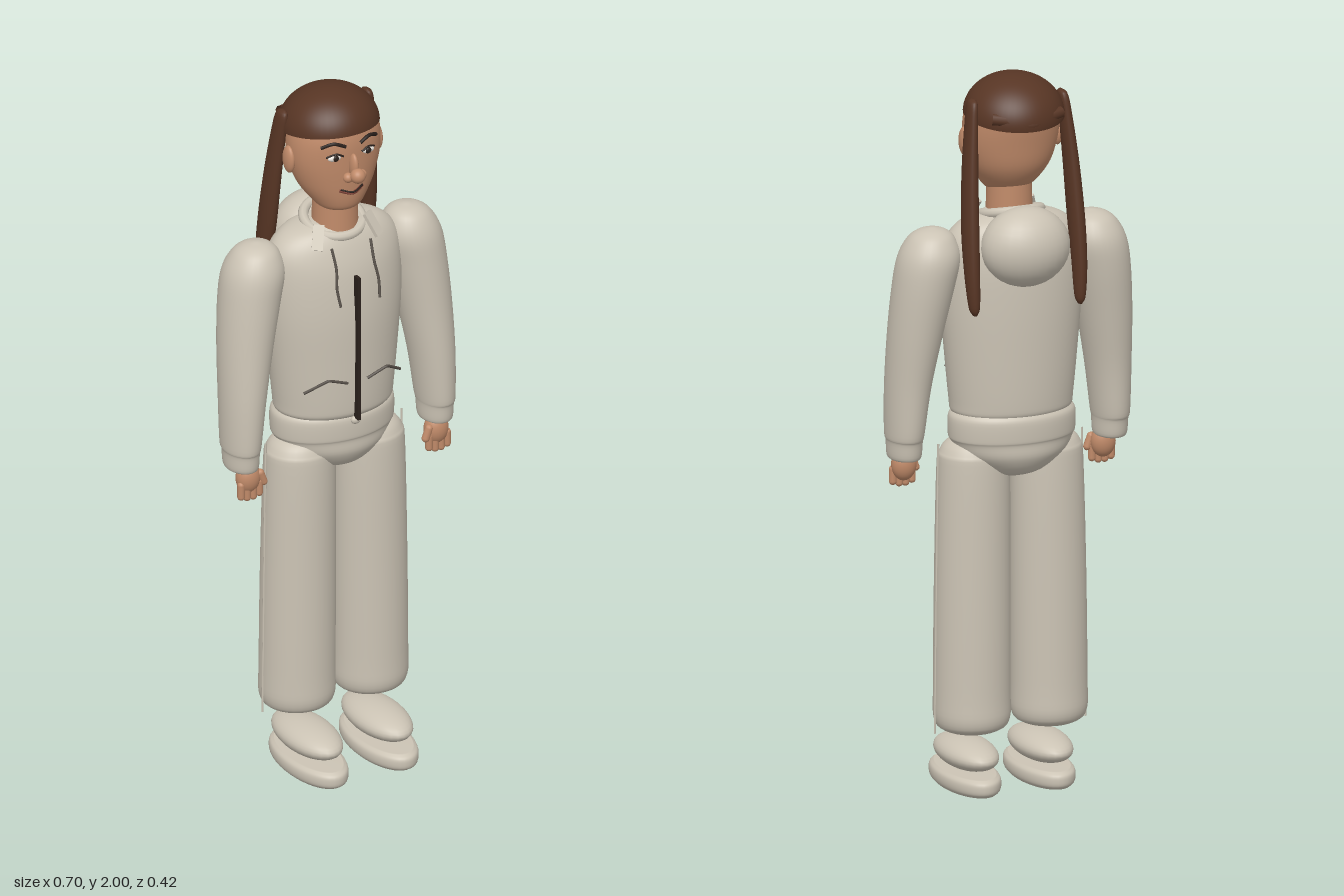
import * as THREE from 'three';

const mat = (name, color, side = THREE.FrontSide) => {
  const m = new THREE.MeshStandardMaterial({ color, side });
  m.name = name;
  return m;
};

// Smooth closed body from horizontal elliptical sections, bottom to top: [y, cx, cz, rx, rz]
function loft(sections, mirror = 1, seg = 32, steps = 5) {
  const mid = new THREE.CatmullRomCurve3(sections.map(([y, x, z]) => new THREE.Vector3(x * mirror, y, z)), false, 'catmullrom', 0.5);
  const rad = new THREE.CatmullRomCurve3(sections.map(([y, , , a, b]) => new THREE.Vector3(a, y, b)), false, 'catmullrom', 0.5);
  const n = (sections.length - 1) * steps, pos = [], idx = [];
  for (let i = 0; i <= n; i++) {
    const c = mid.getPoint(i / n), r = rad.getPoint(i / n);
    for (let j = 0; j < seg; j++) {
      const t = (j / seg) * Math.PI * 2;
      pos.push(c.x + Math.cos(t) * Math.max(r.x, 0.001), c.y, c.z + Math.sin(t) * Math.max(r.z, 0.001));
    }
  }
  for (let i = 0; i < n; i++) {
    for (let j = 0; j < seg; j++) {
      const a = i * seg + j, b = i * seg + (j + 1) % seg;
      idx.push(a, a + seg, b, b, a + seg, b + seg);
    }
  }
  const bottom = pos.length / 3, top = bottom + 1, first = mid.getPoint(0), last = mid.getPoint(1);
  pos.push(first.x, first.y, first.z, last.x, last.y, last.z);
  for (let j = 0; j < seg; j++) {
    const k = (j + 1) % seg;
    idx.push(bottom, j, k, top, n * seg + k, n * seg + j);
  }
  const g = new THREE.BufferGeometry();
  g.setAttribute('position', new THREE.Float32BufferAttribute(pos, 3));
  g.setIndex(idx);
  g.computeVertexNormals();
  return g;
}

const tube = (points, r, s = 1, tension = 0.5) => new THREE.TubeGeometry(
  new THREE.CatmullRomCurve3(points.map(([x, y, z]) => new THREE.Vector3(x * s, y, z)), false, 'catmullrom', tension), 24, r, 8);

export function createModel() {
  const cloth = mat('cloth', 0xcbc3b4);
  const skin = mat('skin', 0xc08a69);
  const hair = mat('hair', 0x573524, THREE.DoubleSide);
  const dark = mat('darkTrim', 0x2a201b);
  const cord = mat('cord', 0x575049);
  const lips = mat('lips', 0x84463a);
  const white = mat('eyeWhite', 0xe6e0d8);

  const model = new THREE.Group();
  const add = (name, geo, m) => {
    const mesh = new THREE.Mesh(geo, m);
    mesh.name = name;
    model.add(mesh);
    return mesh;
  };
  const ball = (name, m, x, y, z, rx, ry = rx, rz = rx) => {
    const mesh = add(name, new THREE.SphereGeometry(1, 28, 18), m);
    mesh.position.set(x, y, z);
    mesh.scale.set(rx, ry, rz);
    return mesh;
  };

  // Jacket body, hood and collar
  add('jacketBody', loft([
    [1.05, 0, -0.015, 0.14, 0.1], [1.065, 0, -0.015, 0.168, 0.122], [1.1, 0, -0.015, 0.174, 0.128],
    [1.22, 0, -0.015, 0.186, 0.131], [1.36, 0, -0.015, 0.198, 0.131], [1.48, 0, -0.018, 0.2, 0.122],
    [1.55, 0, -0.02, 0.188, 0.105], [1.595, 0, -0.022, 0.145, 0.085], [1.62, 0, -0.022, 0.07, 0.06],
  ], 1, 48), cloth);
  ball('hood', cloth, 0, 1.537, -0.115, 0.125, 0.11, 0.097);
  const collar = add('collar', new THREE.TorusGeometry(0.08, 0.014, 10, 40), cloth);
  collar.position.set(0, 1.61, -0.015);
  collar.rotation.x = Math.PI / 2 + 0.27;
  const zip = add('zipper', new THREE.BoxGeometry(0.009, 0.43, 0.02), dark);
  zip.position.set(0, 1.275, 0.12);
  ball('zipPull', cloth, 0, 1.053, 0.11, 0.014, 0.012, 0.01);

  // Trouser waistband and seat
  add('hips', loft([
    [0.875, 0, -0.02, 0.02, 0.02], [0.9, 0, -0.02, 0.09, 0.085], [0.945, 0, -0.02, 0.15, 0.118],
    [0.985, 0, -0.02, 0.172, 0.122], [1.0, 0, -0.02, 0.178, 0.126], [1.05, 0, -0.02, 0.178, 0.126],
    [1.07, 0, -0.02, 0.165, 0.115],
  ], 1, 48), cloth);

  // Head, neck and face
  add('neck', new THREE.CylinderGeometry(0.06, 0.064, 0.13, 32), skin).position.set(0, 1.65, -0.003);
  add('head', loft([
    [1.666, 0, 0.02, 0.03, 0.03], [1.675, 0, 0.018, 0.058, 0.055], [1.7, 0, 0.006, 0.081, 0.078],
    [1.75, 0, -0.007, 0.112, 0.097], [1.82, 0, -0.012, 0.132, 0.106], [1.89, 0, -0.017, 0.131, 0.11],
    [1.94, 0, -0.025, 0.11, 0.1], [1.975, 0, -0.03, 0.055, 0.055], [1.985, 0, -0.03, 0.01, 0.01],
  ], 1, 40), skin);
  ball('noseBridge', skin, 0, 1.815, 0.1, 0.012, 0.038, 0.02);
  ball('noseTip', skin, 0, 1.796, 0.122, 0.021);
  add('mouth', tube([[-0.036, 1.743, 0.083], [0, 1.733, 0.095], [0.036, 1.743, 0.083]], 0.005), lips);
  add('mouthLine', tube([[-0.034, 1.747, 0.088], [0, 1.738, 0.1], [0.034, 1.747, 0.088]], 0.0025), dark);

  // Hair cap and the band across the back
  const cap = add('hairCap', new THREE.SphereGeometry(1, 48, 24, 0, Math.PI * 2, 0, Math.PI / 2), hair);
  cap.scale.set(0.137, 0.11, 0.137);
  cap.position.set(0, 1.89, -0.035);
  cap.rotation.x = -0.14;
  add('hairBand', tube([[-0.1, 1.905, -0.125], [-0.05, 1.898, -0.142], [0, 1.888, -0.157],
    [0.05, 1.898, -0.142], [0.1, 1.905, -0.125]], 0.016), hair);

  for (const s of [1, -1]) {
    const side = s > 0 ? 'left' : 'right';

    // Face details
    ball(side + 'Ear', skin, s * 0.135, 1.82, -0.015, 0.014, 0.04, 0.025);
    ball(side + 'Nostril', skin, s * 0.021, 1.789, 0.106, 0.014);
    ball(side + 'Eye', white, s * 0.05, 1.847, 0.085, 0.021, 0.01, 0.009);
    ball(side + 'Iris', dark, s * 0.05, 1.847, 0.091, 0.009, 0.009, 0.005);
    add(side + 'EyeLid', tube([[0.028, 1.85, 0.094], [0.05, 1.86, 0.092], [0.074, 1.85, 0.08]], 0.0028, s), dark);
    add(side + 'Eyebrow', tube([[0.022, 1.878, 0.095], [0.055, 1.89, 0.087], [0.085, 1.878, 0.071]], 0.005, s), dark);

    // Long tapering pigtail
    add(side + 'Pigtail', loft([
      [1.365, 0.153, -0.13, 0.006, 0.01], [1.39, 0.154, -0.128, 0.015, 0.02], [1.48, 0.156, -0.118, 0.02, 0.029],
      [1.6, 0.154, -0.1, 0.022, 0.036], [1.75, 0.147, -0.082, 0.02, 0.034], [1.88, 0.137, -0.067, 0.016, 0.029],
      [1.935, 0.131, -0.06, 0.013, 0.024], [1.948, 0.128, -0.057, 0.004, 0.008],
    ], s, 20), hair);

    // Sleeve with rounded shoulder and cuff
    add(side + 'Sleeve', loft([
      [0.943, 0.298, 0.014, 0.032, 0.045], [0.952, 0.299, 0.013, 0.044, 0.06], [0.995, 0.299, 0.012, 0.047, 0.066],
      [1.02, 0.299, 0.011, 0.051, 0.073], [1.15, 0.291, 0.006, 0.061, 0.079], [1.3, 0.275, -0.007, 0.074, 0.086],
      [1.43, 0.256, -0.018, 0.084, 0.091], [1.51, 0.241, -0.022, 0.086, 0.088], [1.56, 0.235, -0.022, 0.066, 0.067],
      [1.583, 0.232, -0.022, 0.04, 0.04], [1.592, 0.231, -0.022, 0.008, 0.008],
    ], s), cloth);

    // Hand
    ball(side + 'Palm', skin, s * 0.29, 0.92, 0.036, 0.035, 0.045, 0.03);
    for (let i = 0; i < 4; i++) {
      const finger = add(side + 'Finger', new THREE.CapsuleGeometry(0.0105, 0.034, 6, 12), skin);
      finger.position.set(s * (0.262 + i * 0.0185), 0.883 + (i === 0 || i === 3 ? 0.006 : 0), 0.047);
    }
    const thumb = add(side + 'Thumb', new THREE.CapsuleGeometry(0.011, 0.03, 6, 12), skin);
    thumb.position.set(s * 0.255, 0.918, 0.05);
    thumb.rotation.z = -s * 0.35;

    // Trouser leg with side seam
    add(side + 'TrouserLeg', loft([
      [0.166, 0.112, -0.012, 0.03, 0.03], [0.176, 0.112, -0.012, 0.078, 0.075], [0.205, 0.112, -0.012, 0.103, 0.1],
      [0.3, 0.112, -0.011, 0.105, 0.1], [0.6, 0.11, -0.01, 0.104, 0.097], [0.9, 0.107, -0.008, 0.1, 0.092],
      [0.955, 0.107, -0.008, 0.091, 0.084], [0.985, 0.107, -0.008, 0.062, 0.06], [0.998, 0.107, -0.008, 0.015, 0.015],
    ], s), cloth);
    add(side + 'Seam', tube([[0.209, 0.98, -0.01], [0.214, 0.6, -0.01], [0.219, 0.17, -0.01]], 0.003, s), cloth);

    // Shoe
    ball(side + 'ShoeUpper', cloth, s * 0.108, 0.096, 0.037, 0.074, 0.042, 0.147);
    add(side + 'ShoeSole', loft([
      [0.002, 0.108, 0.045, 0.068, 0.15], [0.012, 0.108, 0.045, 0.077, 0.163], [0.027, 0.108, 0.045, 0.08, 0.166],
      [0.042, 0.108, 0.045, 0.077, 0.163], [0.052, 0.108, 0.045, 0.066, 0.148],
    ], s, 40), cloth);

    // Collar flap, drawstring and pocket line
    const flap = add(side + 'CollarFlap', new THREE.BoxGeometry(0.03, 0.07, 0.01), cloth);
    flap.position.set(s * 0.085, 1.6, 0.055);
    flap.rotation.set(-0.6, s * 0.4, s * 0.35);
    add(side + 'Drawstring', tube([[0.06, 1.575, 0.085], [0.058, 1.52, 0.108], [0.064, 1.47, 0.122], [0.06, 1.42, 0.136]], 0.004, s), cord);
    add(side + 'PocketLine', tube([[0.03, 1.175, 0.12], [0.09, 1.198, 0.122], [0.148, 1.16, 0.09]], 0.004, s, 0.05), cord);
  }
  return model;
}
